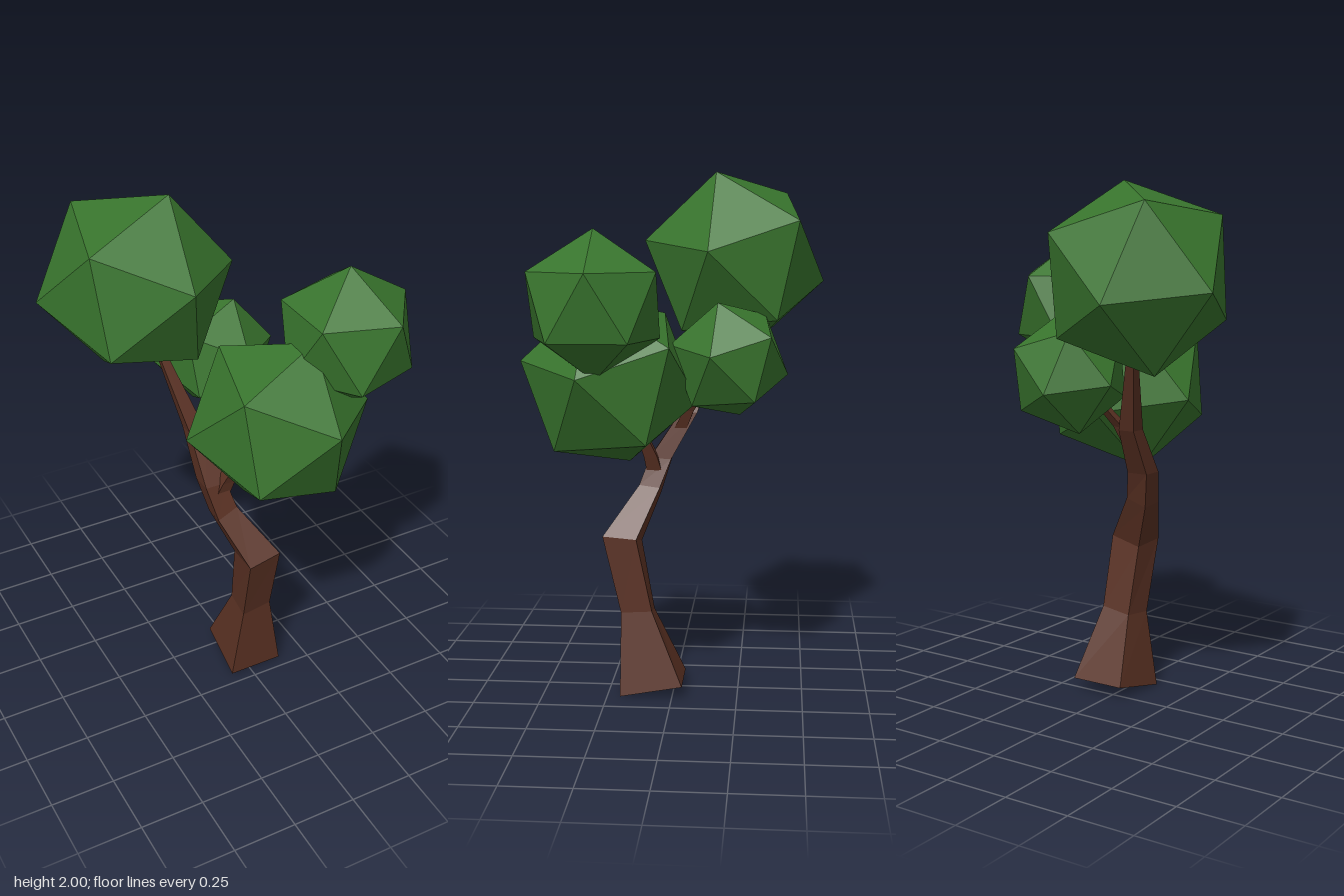
import * as THREE from 'three';

const bark = new THREE.MeshStandardMaterial({ color: 0x5a3123, flatShading: true });
const leaf = new THREE.MeshStandardMaterial({ color: 0x38742d, flatShading: true });

// Four-sided limb through rings of corners (front left, front right, back right, back left)
function limb(name, rings) {
  const index = [];
  for (let i = 0; i < rings.length - 1; i++) {
    for (let j = 0; j < 4; j++) {
      const a = i * 4 + j, b = i * 4 + (j + 1) % 4;
      index.push(a, b, b + 4, a, b + 4, a + 4);
    }
  }
  const t = (rings.length - 1) * 4;
  index.push(0, 2, 1, 0, 3, 2, t, t + 1, t + 2, t, t + 2, t + 3);
  const geo = new THREE.BufferGeometry();
  geo.setAttribute('position', new THREE.Float32BufferAttribute(rings.flat(2), 3));
  geo.setIndex(index);
  const flat = geo.toNonIndexed();
  flat.computeVertexNormals();
  const mesh = new THREE.Mesh(flat, bark);
  mesh.name = name;
  return mesh;
}

// Square ring of half width h, centred on a point
const square = (x, y, z, h) => [[-1, 1], [1, 1], [1, -1], [-1, -1]].map(([i, k]) => [x + i * h, y, z + k * h]);

// Orthonormal frame from two neighbouring corner directions
function frame(a, b) {
  const x = a.clone().normalize();
  const z = x.clone().cross(b).normalize();
  return new THREE.Matrix4().makeBasis(x, z.clone().cross(x), z);
}

// Icosahedron turned so that two neighbouring corners point along a and b
function foliage(name, center, radius, a, b) {
  const g = (1 + Math.sqrt(5)) / 2;
  const source = frame(new THREE.Vector3(-1, g, 0), new THREE.Vector3(1, g, 0));
  const turn = frame(new THREE.Vector3(...a), new THREE.Vector3(...b)).multiply(source.invert());
  const geo = new THREE.IcosahedronGeometry(radius, 0).applyMatrix4(turn);
  const mesh = new THREE.Mesh(geo, leaf);
  mesh.position.set(...center);
  mesh.name = name;
  return mesh;
}

export function createModel() {
  const tree = new THREE.Group();
  tree.name = 'tree';

  // Bent trunk, narrowing into the long upper branch
  tree.add(limb('trunk', [
    [[-0.08, 0, 0.2], [0.14, 0, 0.2], [0.16, 0.05, -0.04], [-0.06, 0.05, -0.04]],
    [[-0.03, 0.3, 0.2], [0.09, 0.32, 0.2], [0.1, 0.33, 0.08], [-0.02, 0.31, 0.08]],
    [[-0.04, 0.59, 0.27], [0.09, 0.62, 0.27], [0.095, 0.61, 0.14], [-0.035, 0.58, 0.13]],
    [[-0.115, 0.77, 0.15], [-0.03, 0.8, 0.14], [-0.025, 0.79, 0.06], [-0.11, 0.76, 0.06]],
    square(-0.1, 0.9, 0.06, 0.043),
    square(-0.115, 1.08, -0.05, 0.033),
    square(-0.2, 1.4, -0.17, 0.014),
  ]));

  // Side branches
  tree.add(limb('frontBranch', [
    square(-0.08, 0.84, 0.08, 0.03),
    square(-0.055, 0.91, 0.095, 0.026),
    square(-0.03, 0.98, 0.12, 0.02),
  ]));
  tree.add(limb('backBranch', [
    square(-0.105, 1.0, -0.01, 0.025),
    square(-0.07, 1.09, -0.05, 0.02),
    square(0.0, 1.22, -0.14, 0.014),
  ]));

  // Leaf clumps
  tree.add(foliage('topFoliage', [-0.26, 1.66, -0.22], 0.365, [0.11, 0.34, 0.07], [-0.24, 0.22, 0.17]));
  tree.add(foliage('frontFoliage', [0.085, 1.22, 0.235], 0.345, [0.065, 0.08, 0.325], [0.335, 0.04, 0.085]));
  tree.add(foliage('leftFoliage', [0.35, 1.52, 0.26], 0.27, [0, 1, 0], [1, 0.5, 0]));
  tree.add(foliage('backFoliage', [0.05, 1.3, -0.21], 0.232, [0.07, 0.22, 0.04], [0.22, 0.03, 0.06]));

  return tree;
}
